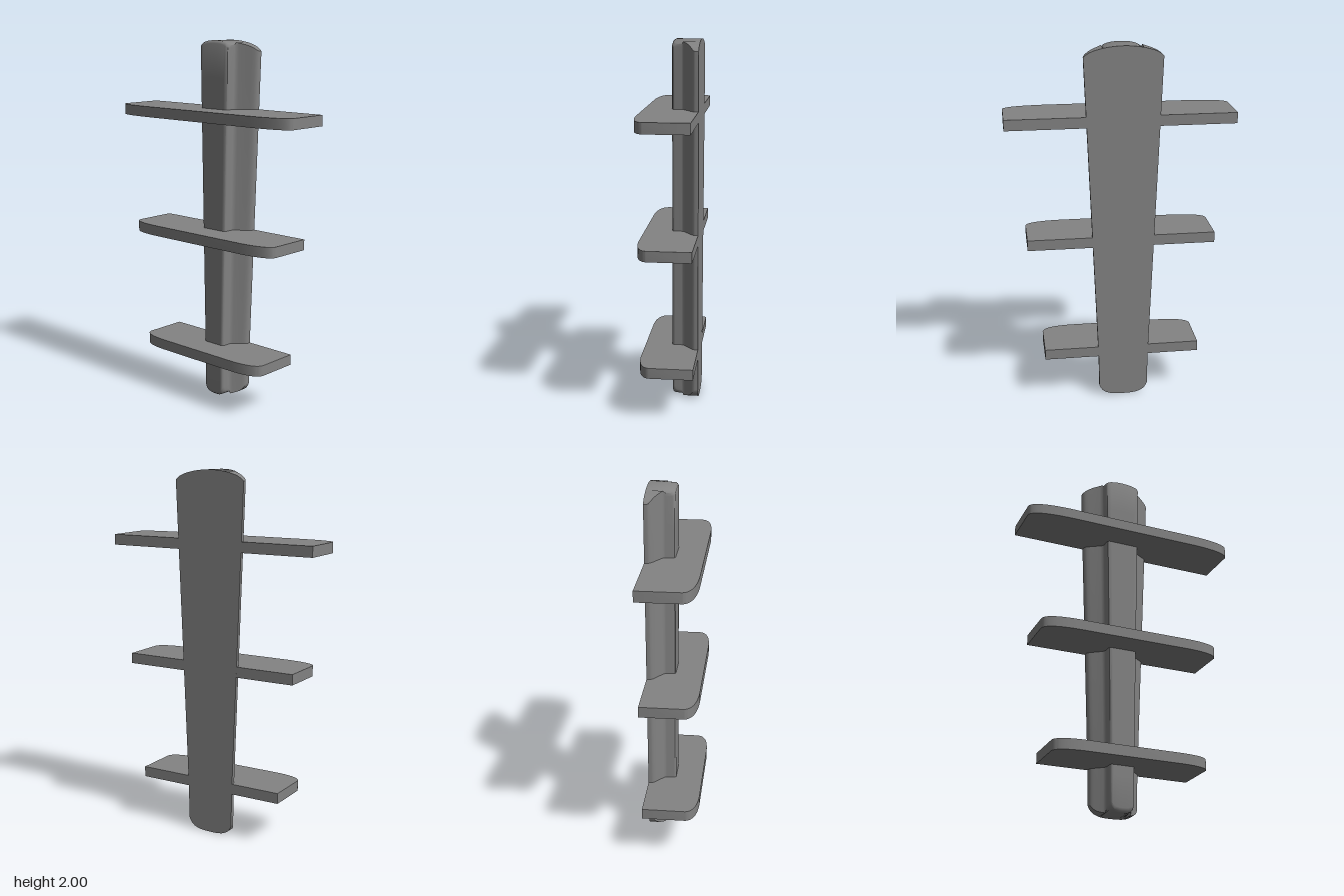
import * as THREE from 'three';
import { toCreasedNormals } from 'three/addons/utils/BufferGeometryUtils.js';

const BACK = -0.15;
const material = new THREE.MeshStandardMaterial({ color: 0x838383 });

// Half of the stepped spine section [x, z], from outer back corner to the middle of the rib
const HALF = [
  [0.207, BACK], [0.207, -0.132], [0.204, -0.124], [0.193, -0.114], [0.178, -0.105], [0.155, -0.092],
  [0.12, -0.071], [0.107, -0.062], [0.103, -0.052], [0.102, -0.015], [0.098, -0.005], [0.088, 0],
  [0.075, 0], [0.05, 0], [0.025, 0],
];

// Tapered spine: the section is lofted upward, with bowed ends, rounded corners and a softened rib
function spineGeometry() {
  const front = [...HALF.map(([x, z]) => [-x, z]), [0, 0], ...HALF.slice().reverse()];
  const n = front.length;
  const loop = [...front, ...front.map(([x]) => [x, BACK]).reverse()];
  const levels = [0, 0.004, 0.012, 0.1, 0.5, 0.9, 0.992, 0.997, 1];
  const inset = [0.015, 0.005, 0, 0, 0, 0, 0, 0.005, 0.015];

  const rings = levels.map((t, k) => loop.map(([x, z]) => {
    const u = Math.abs(x) / 0.207;
    const rib = z > -0.06 ? (Math.abs(x) / 0.103) ** 4 : 0;
    const yBottom = 0.035 * u ** 3 + 0.025 * u ** 10 + 0.03 * rib;
    const yTop = 2 - 0.04 * u ** 2 - 0.015 * u ** 10 - 0.014 * rib;
    const y = THREE.MathUtils.lerp(yBottom, yTop, t);
    const scale = 0.66 + 0.34 * THREE.MathUtils.clamp((y - 0.18) / 1.75, 0, 1);
    const dz = z > -0.03 ? inset[k] : 0;
    return [x * scale - 0.008, y, z - dz];
  }));

  const pos = [];
  const quad = (a, b, c, d) => pos.push(...a, ...b, ...c, ...a, ...c, ...d);
  for (let k = 0; k < rings.length - 1; k++) {
    const lo = rings[k], hi = rings[k + 1];
    loop.forEach((_, i) => {
      const j = (i + 1) % loop.length;
      quad(lo[i], lo[j], hi[j], hi[i]);
    });
  }
  // End caps run in strips from the front outline to the flat back
  const bottom = rings[0], top = rings[rings.length - 1];
  for (let i = 0; i < n - 1; i++) {
    const bi = 2 * n - 1 - i;
    quad(top[i], top[i + 1], top[bi - 1], top[bi]);
    quad(bottom[bi], bottom[bi - 1], bottom[i + 1], bottom[i]);
  }
  const geometry = new THREE.BufferGeometry();
  geometry.setAttribute('position', new THREE.Float32BufferAttribute(pos, 3));
  return toCreasedNormals(geometry, 0.7);
}

// Shelf board with a straight back and long rounded front corners
function shelfGeometry(w) {
  const shape = new THREE.Shape();
  shape.moveTo(-w, BACK);
  shape.lineTo(w, BACK);
  shape.lineTo(w, 0.085);
  shape.quadraticCurveTo(w - 0.01, 0.145, w * 0.62, 0.15);
  shape.lineTo(-w * 0.62, 0.15);
  shape.quadraticCurveTo(-w + 0.01, 0.145, -w, 0.085);
  shape.closePath();
  const geometry = new THREE.ExtrudeGeometry(shape, { depth: 0.058, bevelEnabled: false, curveSegments: 16 });
  geometry.rotateX(Math.PI / 2);
  return toCreasedNormals(geometry, 0.6);
}

export function createModel() {
  const group = new THREE.Group();
  group.name = 'wallShelf';
  const add = (name, geometry, y = 0) => {
    const mesh = new THREE.Mesh(geometry, material);
    mesh.name = name;
    mesh.position.y = y;
    group.add(mesh);
  };

  add('spine', spineGeometry());
  // Half width and top height of each shelf
  add('lowerShelf', shelfGeometry(0.432), 0.306);
  add('middleShelf', shelfGeometry(0.51), 0.968);
  add('upperShelf', shelfGeometry(0.612), 1.635);
  return group;
}
